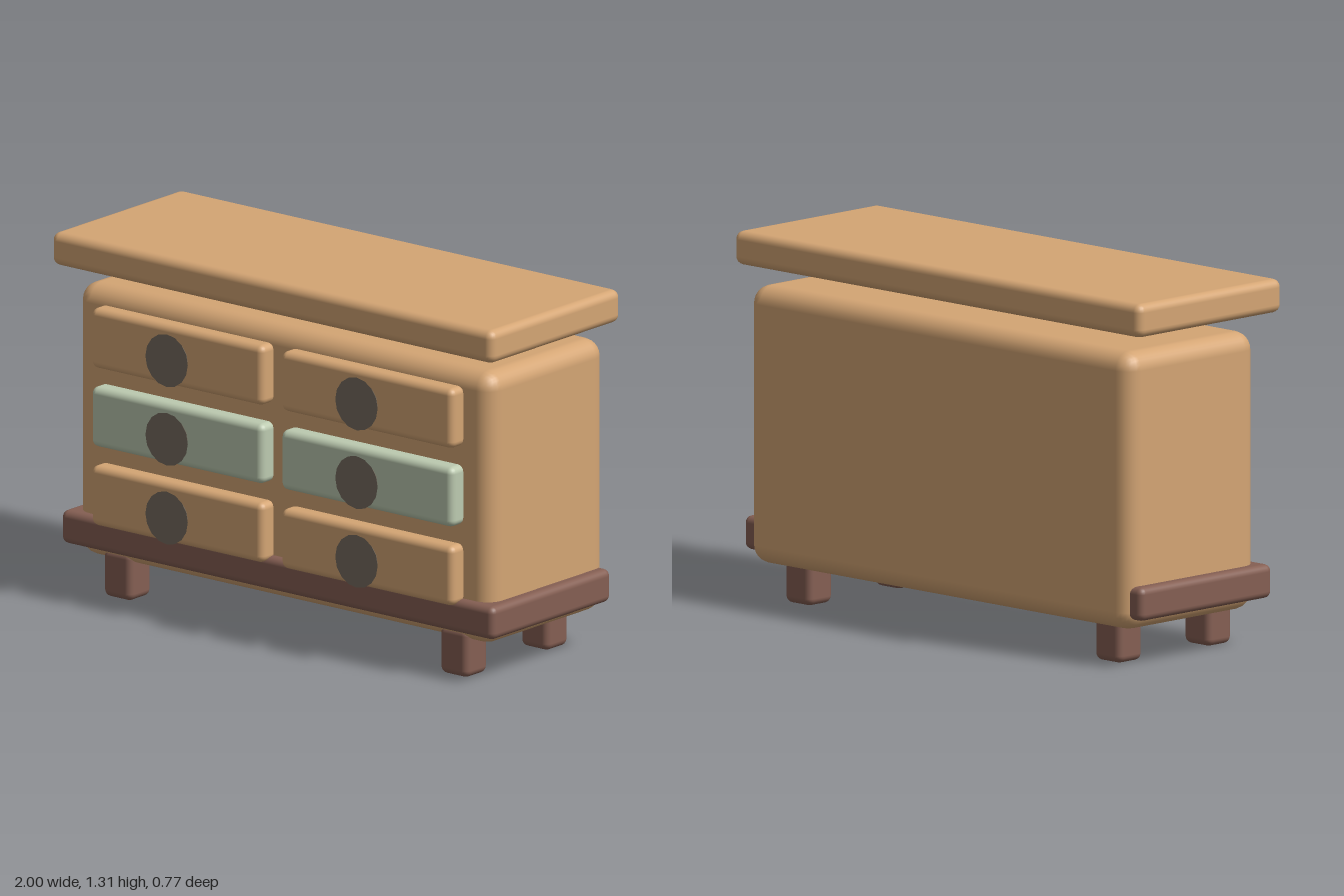
import * as THREE from 'three';
import { RoundedBoxGeometry } from 'three/addons/geometries/RoundedBoxGeometry.js';

const material = (name, color) => {
  const m = new THREE.MeshStandardMaterial({ color });
  m.name = name;
  return m;
};

export function createModel() {
  const wood = material('light wood', 0xd4a574);
  const darkWood = material('dark wood', 0x855f53);
  const sage = material('sage green', 0xbccab0);
  const metal = material('knob metal', 0x766c60);

  const model = new THREE.Group();
  model.name = 'dresser';

  // Rounded box given by its extents on each axis
  const block = (name, mat, [x0, x1], [y0, y1], [z0, z1], radius) => {
    const geometry = new RoundedBoxGeometry(x1 - x0, y1 - y0, z1 - z0, 3, radius);
    const mesh = new THREE.Mesh(geometry, mat);
    mesh.name = name;
    mesh.position.set((x0 + x1) / 2, (y0 + y1) / 2, (z0 + z1) / 2);
    model.add(mesh);
  };

  // Carcass, floating top and plinth
  block('body', wood, [-0.94, 0.94], [0.135, 1.125], [-0.377, 0.267], 0.065);
  block('topBoard', wood, [-1, 1], [1.19, 1.31], [-0.384, 0.332], 0.03);
  block('plinth', darkWood, [-0.98, 0.98], [0.175, 0.295], [-0.354, 0.302], 0.025);

  // Drawers in two columns and three rows, each with a flared knob
  const knobGeometry = new THREE.CylinderGeometry(0.096, 0.04, 0.065, 16);
  knobGeometry.rotateX(Math.PI / 2);
  [0.385, 0.672, 0.958].forEach((y, row) => {
    for (const x of [-0.43, 0.43]) {
      block('drawer', row === 1 ? sage : wood,
        [x - 0.39, x + 0.39], [y - 0.109, y + 0.109], [0.252, 0.332], 0.025);
      const knob = new THREE.Mesh(knobGeometry, metal);
      knob.name = 'knob';
      knob.position.set(x, y, 0.3515);
      model.add(knob);
    }
  });

  // Four short feet
  for (const x of [-0.762, 0.762]) {
    for (const z of [0.197, -0.247]) {
      block('foot', darkWood, [x - 0.064, x + 0.064], [0, 0.175], [z - 0.06, z + 0.06], 0.025);
    }
  }

  return model;
}
